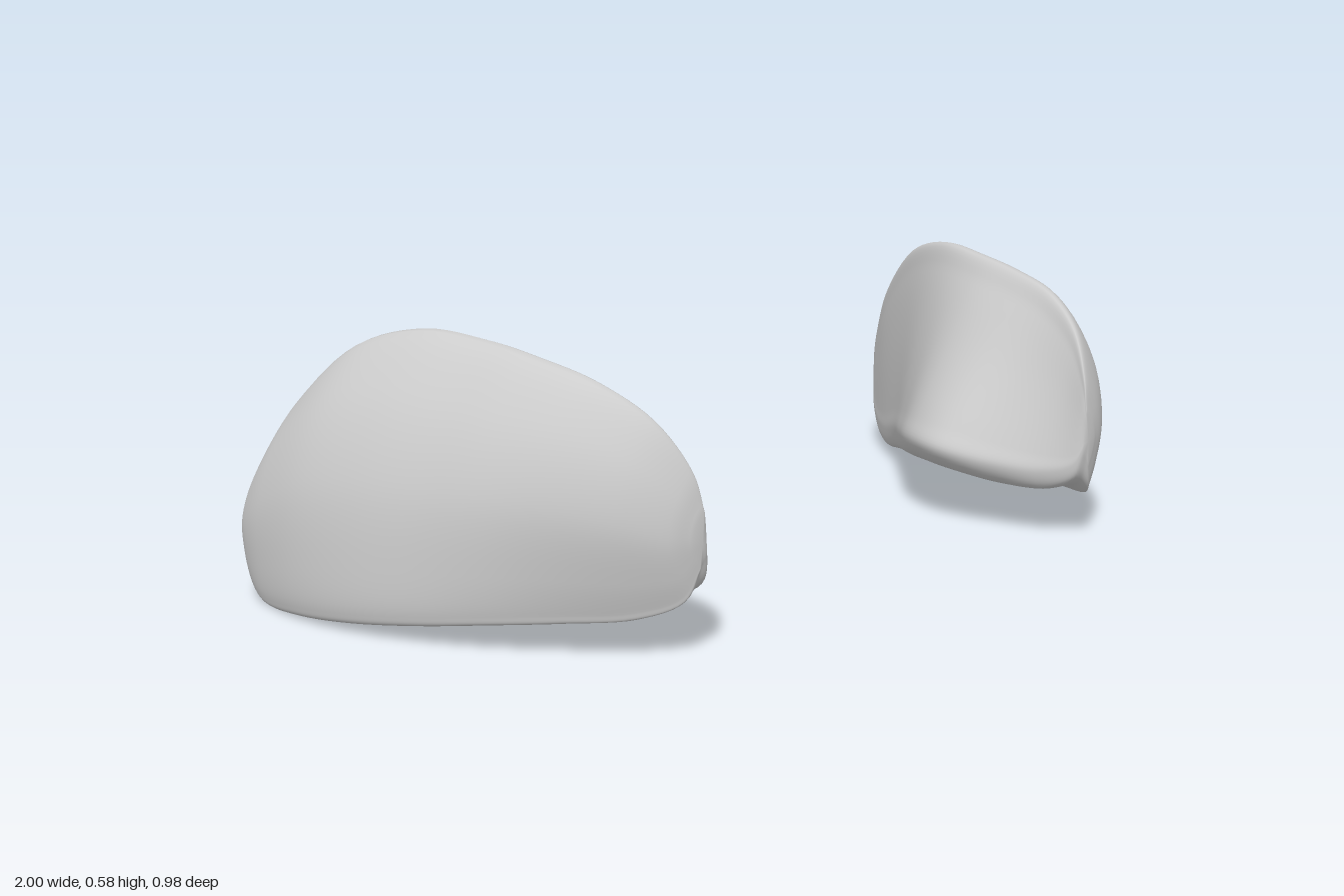
import * as THREE from 'three';

// Stations from front to back: z, ridge x/y, outer lower edge x/y, inner tip x/y
const STATIONS = [
  [0.490, 0.572, 0.290, 0.585, 0.180, 0.566, 0.220],
  [0.472, 0.585, 0.365, 0.612, 0.117, 0.550, 0.175],
  [0.410, 0.625, 0.460, 0.680, 0.083, 0.522, 0.155],
  [0.300, 0.672, 0.525, 0.775, 0.070, 0.476, 0.160],
  [0.170, 0.704, 0.556, 0.865, 0.056, 0.437, 0.178],
  [0.050, 0.726, 0.574, 0.925, 0.040, 0.478, 0.175],
  [-0.100, 0.765, 0.582, 0.976, 0.022, 0.612, 0.140],
  [-0.250, 0.817, 0.537, 0.996, 0.008, 0.757, 0.100],
  [-0.380, 0.870, 0.415, 0.987, 0.004, 0.858, 0.065],
  [-0.440, 0.904, 0.317, 0.973, 0.027, 0.901, 0.075],
  [-0.473, 0.926, 0.240, 0.962, 0.070, 0.924, 0.110],
  [-0.490, 0.943, 0.165, 0.954, 0.115, 0.943, 0.135],
];
const RINGS = 66, AROUND = 80;

// Control points of one cross-section: ridge, bulging outer wall, crisp lower edge, underside, inner tip
function section([z, tx, ty, bx, by, ix, iy]) {
  const h = ty - by;
  const bulge = h * (1.08 + Math.max(z, 0));
  const mix = (a, b, t) => a + (b - a) * t;
  return [
    [tx, ty],
    [mix(tx, bx, 0.25) + 0.095 * bulge, mix(ty, by, 0.2)],
    [mix(tx, bx, 0.55) + 0.12 * bulge, mix(ty, by, 0.5)],
    [mix(tx, bx, 0.85) + 0.055 * bulge, mix(ty, by, 0.8)],
    [bx, by + 0.04 * h],
    [bx - 0.02 * h, by],
    [mix(bx, ix, 0.5), mix(by, iy - 0.09 * h, 0.5) + 0.02 * h],
    [mix(ix, bx, 0.1), iy - 0.1 * h],
    [ix, iy],
    [mix(ix, tx, 0.1), iy + 0.1 * h],
    [mix(ix, tx, 0.52) - 0.01 * h, mix(iy, ty, 0.53)],
    [mix(ix, tx, 0.85) - 0.01 * h, mix(iy, ty, 0.86)],
  ].map(([x, y]) => new THREE.Vector3(x, y, z));
}

// Lofts smooth rings along the rails; side is +1 or -1
function podGeometry(side) {
  const sections = STATIONS.map(section);
  const rails = sections[0].map((_, k) => new THREE.CatmullRomCurve3(sections.map((s) => s[k])));
  const pos = [], index = [];
  const poles = [new THREE.Vector3(), new THREE.Vector3()];
  const push = (p) => pos.push(side * p.x, p.y, p.z);
  const tri = (a, b, c) => (side > 0 ? index.push(a, b, c) : index.push(a, c, b));

  for (let i = 0; i <= RINGS; i++) {
    const loop = new THREE.CatmullRomCurve3(rails.map((r) => r.getPoint(i / RINGS)), true);
    for (let j = 0; j < AROUND; j++) {
      const p = loop.getPoint(j / AROUND);
      push(p);
      if (i === 0) poles[0].addScaledVector(p, 1 / AROUND);
      if (i === RINGS) poles[1].addScaledVector(p, 1 / AROUND);
    }
  }
  poles[0].z += 0.002;
  poles[1].z -= 0.002;
  poles.forEach(push);

  const front = (RINGS + 1) * AROUND, back = front + 1;
  for (let j = 0; j < AROUND; j++) {
    const n = (j + 1) % AROUND;
    for (let i = 0; i < RINGS; i++) {
      const a = i * AROUND + j, b = i * AROUND + n;
      tri(a, b, a + AROUND);
      tri(b, b + AROUND, a + AROUND);
    }
    tri(front, n, j);
    tri(back, RINGS * AROUND + j, RINGS * AROUND + n);
  }

  const geo = new THREE.BufferGeometry();
  geo.setAttribute('position', new THREE.Float32BufferAttribute(pos, 3));
  geo.setIndex(index);
  geo.computeVertexNormals();
  return geo;
}

export function createModel() {
  const group = new THREE.Group();
  const paleGrey = new THREE.MeshStandardMaterial({ color: 0xcccccc });
  paleGrey.name = 'paleGrey';
  for (const [name, side] of [['leftPad', 1], ['rightPad', -1]]) {
    const pad = new THREE.Mesh(podGeometry(side), paleGrey);
    pad.name = name;
    group.add(pad);
  }
  return group;
}
